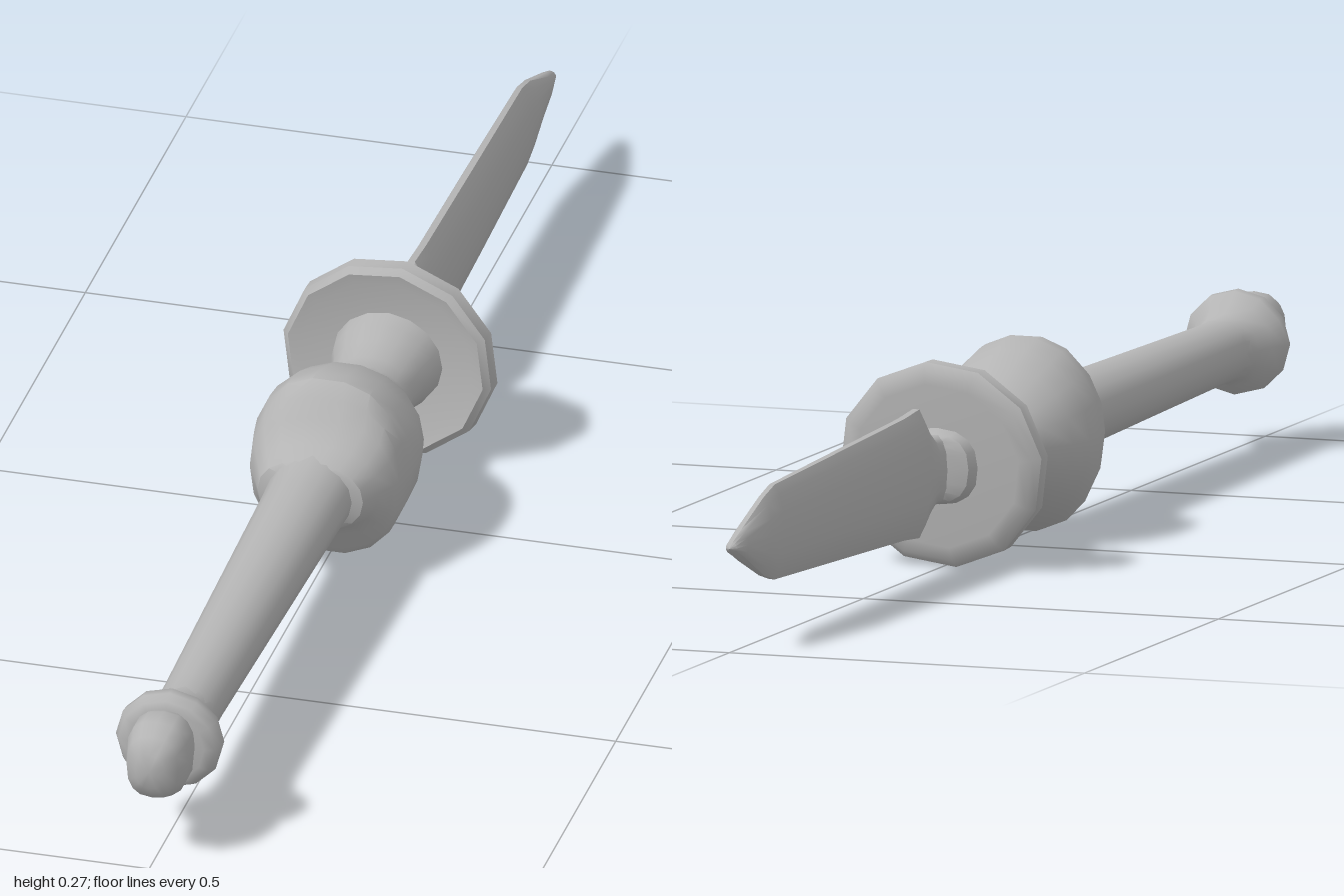
import * as THREE from 'three';
import { toCreasedNormals } from 'three/addons/utils/BufferGeometryUtils.js';

const steel = new THREE.MeshStandardMaterial({ color: 0xb4b4b4 });
steel.name = 'grey steel';

// Skin superellipse sections [z, halfWidth, halfHeight, centreY, exponent], ordered front to back
function loft(name, sections, sides, crease = 0.75, phase = 0) {
  const pos = [], index = [];
  const bend = (v, n) => Math.sign(v) * Math.pow(Math.abs(v), 2 / n);
  sections.forEach(([z, rx, ry, cy = 0.141, n = 2]) => {
    for (let i = 0; i < sides; i++) {
      const a = phase + (i / sides) * Math.PI * 2;
      pos.push(rx * bend(Math.cos(a), n), cy + ry * bend(Math.sin(a), n), z);
    }
  });
  for (let s = 0; s < sections.length - 1; s++) {
    for (let i = 0; i < sides; i++) {
      const j = (i + 1) % sides, a = s * sides, b = a + sides;
      if (sections[s][1] > 0) index.push(a + i, b + i, a + j);
      if (sections[s + 1][1] > 0) index.push(a + j, b + i, b + j);
    }
  }
  const geo = new THREE.BufferGeometry();
  geo.setAttribute('position', new THREE.Float32BufferAttribute(pos, 3));
  geo.setIndex(index);
  const mesh = new THREE.Mesh(toCreasedNormals(geo, crease), steel);
  mesh.name = name;
  return mesh;
}

export function createModel() {
  const group = new THREE.Group();
  group.name = 'dagger';

  // Rounded, slightly square end cap
  group.add(loft('pommel', [
    [1.0, 0, 0, 0.148], [0.998, 0.02, 0.025, 0.148, 2.4], [0.985, 0.035, 0.045, 0.148, 2.6],
    [0.96, 0.042, 0.055, 0.148, 2.7], [0.93, 0.042, 0.055, 0.148, 2.7],
    [0.9, 0.036, 0.046, 0.146], [0.88, 0, 0, 0.146],
  ], 16, 1));

  // Bead in front of the grip
  group.add(loft('pommelRing', [
    [0.915, 0, 0, 0.145], [0.917, 0.052, 0.052, 0.145], [0.913, 0.066, 0.064, 0.145],
    [0.9, 0.073, 0.07, 0.145], [0.885, 0.071, 0.069, 0.145], [0.873, 0.058, 0.056, 0.144],
    [0.85, 0.048, 0.046, 0.142], [0.82, 0.043, 0.042, 0.141],
  ], 12, 1));

  // Long grip widening toward the bulb
  group.add(loft('grip', [
    [0.87, 0.048, 0.046], [0.82, 0.043, 0.042], [0.78, 0.043, 0.042], [0.5, 0.05, 0.046],
    [0.25, 0.056, 0.05], [0.2, 0.058, 0.052], [0.14, 0.07, 0.06],
  ], 16, 1));

  // Bulb with a steep face above and below, and longer tapering cheeks
  group.add(loft('bulb', [
    [0.205, 0.055, 0.048], [0.2, 0.072, 0.05, 0.141, 2.2], [0.17, 0.085, 0.06, 0.141, 2.4],
    [0.143, 0.098, 0.085, 0.14, 2.5], [0.128, 0.102, 0.112, 0.138, 2.4],
    [0.108, 0.105, 0.13, 0.138, 2.25], [0.09, 0.109, 0.13, 0.138, 2.1], [0.05, 0.112, 0.117, 0.14],
    [0.01, 0.103, 0.1], [-0.03, 0.082, 0.074], [-0.055, 0.065, 0.052], [-0.08, 0.058, 0.048],
  ], 18, 0.7));

  // Neck between bulb and guard
  group.add(loft('neck', [
    [-0.04, 0.07, 0.06], [-0.06, 0.06, 0.049], [-0.1, 0.059, 0.05], [-0.135, 0.064, 0.057],
    [-0.165, 0.073, 0.064], [-0.2, 0.078, 0.068],
  ], 16, 1));

  // Twelve-sided dished guard, slightly tilted
  const guard = loft('guard', [
    [0.005, 0, 0, 0], [0.009, 0.07, 0.065, 0], [0.016, 0.122, 0.113, 0], [0.02, 0.138, 0.128, 0],
    [0.012, 0.147, 0.137, 0], [-0.01, 0.148, 0.138, 0], [-0.02, 0.138, 0.128, 0],
    [-0.022, 0.12, 0.11, 0], [-0.018, 0, 0, 0],
  ], 12, 0.75, -0.13);
  guard.position.set(0, 0.141, -0.198);
  guard.rotation.set(-0.06, -0.08, 0);
  group.add(guard);

  // Collar holding the blade
  group.add(loft('collar', [
    [-0.2, 0.06, 0.055], [-0.225, 0.056, 0.05, 0.14, 2.5], [-0.24, 0.05, 0.046, 0.14, 2.5],
    [-0.248, 0.025, 0.04, 0.14, 2.5], [-0.25, 0, 0, 0.14],
  ], 16, 0.6));

  // Flat blade with a narrow root, shoulders and a point
  group.add(loft('blade', [
    [-0.23, 0.024, 0.047, 0.139, 2.6], [-0.265, 0.023, 0.046, 0.139, 2.6],
    [-0.285, 0.022, 0.064, 0.14, 2.2], [-0.303, 0.021, 0.088, 0.142, 2],
    [-0.36, 0.021, 0.083, 0.142, 2], [-0.6, 0.02, 0.074, 0.142, 2], [-0.84, 0.017, 0.065, 0.142, 2],
    [-0.88, 0.016, 0.054, 0.142, 2], [-0.96, 0.012, 0.022, 0.142, 2],
    [-0.992, 0.008, 0.008, 0.142], [-1.0, 0, 0, 0.142],
  ], 14, 0.9));

  return group;
}
